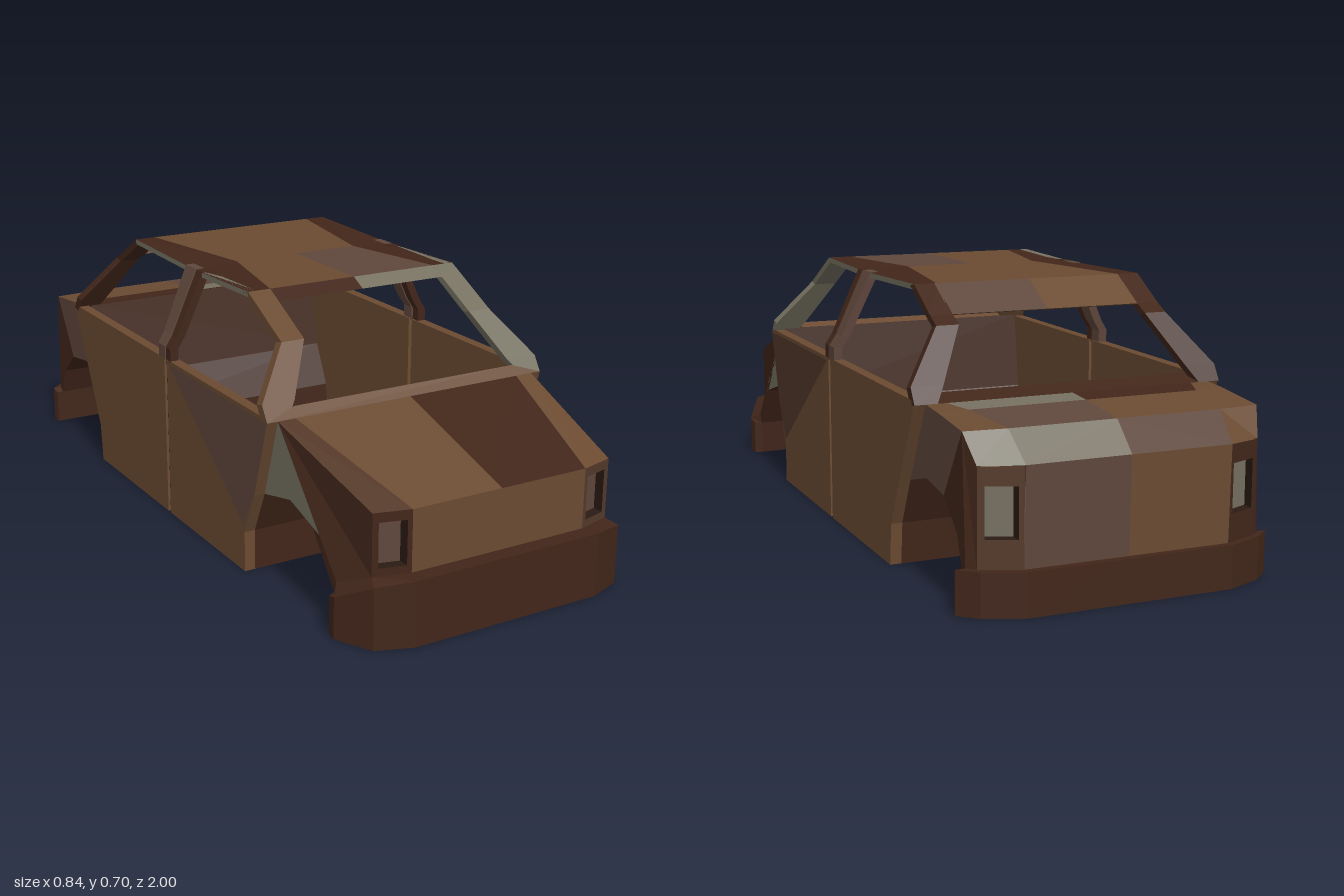
import * as THREE from 'three';

const BROWN = 0x6b4b32, DARK = 0x42261a, GREY = 0x757060, MAUVE = 0x5f473c, UMBER = 0x54392a, BLACK = 0x2c1b14;
const mats = {};
const mat = c => mats[c] ??= new THREE.MeshStandardMaterial({ color: c, flatShading: true, side: THREE.DoubleSide });
const centre = new THREE.Vector3(0, 0.28, 0);

// Flat facets: each face is a fan of corners, turned to point away from the body centre
function panel(group, name, color, faces) {
  const pos = [];
  for (const f of faces) {
    const p = f.map(q => new THREE.Vector3(...q));
    for (let i = 1; i < p.length - 1; i++) {
      const t = [p[0], p[i], p[i + 1]];
      const n = t[1].clone().sub(t[0]).cross(t[2].clone().sub(t[0]));
      const mid = t[0].clone().add(t[1]).add(t[2]).divideScalar(3).sub(centre);
      if (n.dot(mid) < 0) t.reverse();
      t.forEach(v => pos.push(v.x, v.y, v.z));
    }
  }
  const g = new THREE.BufferGeometry();
  g.setAttribute('position', new THREE.Float32BufferAttribute(pos, 3));
  g.computeVertexNormals();
  const m = new THREE.Mesh(g, mat(color));
  m.name = name;
  group.add(m);
}

// The same facets on both sides, each side with its own paint
function pair(group, name, right, left, faces) {
  panel(group, name + 'Left', left, faces);
  panel(group, name + 'Right', right, faces.map(f => f.map(([x, y, z]) => [-x, y, z])));
}

// Strip of quads between two point rows
const strip = (a, b) => a.slice(1).map((p, i) => [a[i], p, b[i + 1], b[i]]);
// Tube of quads through equal cross-sections
function loft(rings) {
  const faces = [rings[0], rings.at(-1)];
  for (let i = 1; i < rings.length; i++)
    rings[i].forEach((p, k) => {
      const n = (k + 1) % rings[i].length;
      faces.push([rings[i - 1][k], p, rings[i][n], rings[i - 1][n]]);
    });
  return faces;
}

// Door plate cut from a z-y outline
function doors(group, name, color, outline) {
  const shape = new THREE.Shape(outline.map(([z, y]) => new THREE.Vector2(-z, y)));
  const g = new THREE.ExtrudeGeometry(shape, { depth: 0.03, bevelEnabled: false });
  g.rotateY(Math.PI / 2);
  for (const s of [0, 1]) {
    const m = new THREE.Mesh(g, mat(color));
    m.name = name + (s ? 'Left' : 'Right');
    m.position.x = s ? 0.39 : -0.42;
    group.add(m);
  }
}

// Corner panel with a recessed lamp
function lamp(group, name, P, Q, y0, y1, v0, v1, lensR, lensL) {
  const at = (u, y, d = 0) => [P[0] + (Q[0] - P[0]) * u, y, P[1] + (Q[1] - P[1]) * u - d];
  const d = 0.03 * Math.sign(P[1]);
  const outer = [at(0, y0), at(1, y0), at(1, y1), at(0, y1), at(0, y0)];
  const hole = k => [at(.12, v0, k), at(.84, v0, k), at(.84, v1, k), at(.12, v1, k), at(.12, v0, k)];
  pair(group, name + 'Surround', DARK, UMBER, strip(outer, hole(0)));
  pair(group, name + 'Recess', BLACK, BLACK, strip(hole(0), hole(d)));
  pair(group, name + 'Lens', lensR, lensL, [hole(d).slice(0, 4)]);
}

export function createModel() {
  const car = new THREE.Group();
  car.name = 'carBody';

  // Wheel arches run right across the body
  const frontArch = [[.84, 0], [.83, .1], [.76, .22], [.62, .26], [.49, .23], [.435, .11], [.435, 0]];
  const rearArch = [[-.5, 0], [-.51, .11], [-.57, .235], [-.68, .265], [-.79, .25], [-.87, .18], [-.9, .1], [-.9, 0]];
  for (const [name, arch] of [['frontWheelArch', frontArch], ['rearWheelArch', rearArch]])
    panel(car, name, DARK, strip(arch.map(([z, y]) => [-.39, y, z]), arch.map(([z, y]) => [.39, y, z])));

  // Floor and bulkheads
  panel(car, 'floor', BLACK, [[[-.39, 0, .435], [.39, 0, .435], [.39, 0, -.5], [-.39, 0, -.5]]]);
  for (const [name, zt, zb, yb] of [['frontBulkhead', .52, .49, .23], ['rearBulkhead', -.62, -.57, .235]])
    panel(car, name, DARK, [[[-.39, .46, zt], [.39, .46, zt], [.39, yb, zb], [-.39, yb, zb]]]);

  // Bonnet, grille and front lamps
  pair(car, 'bonnet', BROWN, DARK, [[[0, .33, .955], [.255, .33, .955], [.34, .445, .56], [0, .445, .56]]]);
  pair(car, 'bonnetEdge', UMBER, BROWN, [[[.255, .33, .955], [.35, .33, .93], [.39, .445, .56], [.34, .445, .56]]]);
  pair(car, 'grille', BROWN, BROWN, [[[0, .17, .955], [.255, .17, .955], [.255, .33, .955], [0, .33, .955]]]);
  lamp(car, 'headlamp', [.255, .955], [.35, .93], .17, .33, .19, .305, MAUVE, MAUVE);

  // Front wings
  const wingTop = [.39, .445, .56];
  pair(car, 'frontWingRear', GREY, GREY, [[wingTop, [.39, .23, .49], [.39, .26, .62], [.39, .22, .76]]]);
  pair(car, 'frontWing', DARK, DARK,
    [[wingTop, [.39, .22, .76], [.39, .1, .83], [.39, .13, .84], [.35, .17, .93], [.35, .33, .93]]]);

  // Bumpers: plan rows of [x, top y, z], outer edge and inner edge
  const bumpers = {
    frontBumper: [[[0, .17, 1], [.27, .17, 1], [.365, .16, .965], [.415, .11, .87], [.41, .1, .84], [.39, .1, .83]],
      [[0, .17, .955], [.255, .17, .955], [.35, .17, .93], [.39, .13, .84], [.39, .1, .83], [.39, .1, .83]], .84],
    rearBumper: [[[0, .11, -1], [.27, .11, -1], [.37, .11, -.96], [.415, .11, -.92], [.41, .1, -.9], [.39, .1, -.9]],
      [[0, .11, -.98], [.27, .11, -.98], [.37, .11, -.94], [.39, .11, -.92], [.39, .1, -.9], [.39, .1, -.9]], -.9],
  };
  for (const [name, [out, inn, zEnd]] of Object.entries(bumpers)) {
    const low = out.map(([x, , z]) => [x, 0, z]);
    pair(car, name, DARK, DARK, [...strip(out, low), ...strip(out, inn)]);
    pair(car, name + 'Underside', BLACK, BLACK, [[[0, 0, zEnd], ...low]]);
  }

  // Boot lid, tail panel and rear lamps
  const lid = [[0.34, .445, -.67], [.31, .44, -.75], [.28, .425, -.91], [.27, .355, -.985]];
  const edge = [[.39, .445, -.67], [.39, .44, -.75], [.39, .425, -.9], [.37, .35, -.94]];
  const mid = lid.map(([, y, z]) => [0, y, z]);
  const lidPaint = [[DARK, GREY], [BROWN, MAUVE], [UMBER, GREY]];
  const edgePaint = [[BROWN, BROWN], [BROWN, BROWN], [BROWN, GREY]];
  strip(mid, lid).forEach((f, i) => pair(car, 'bootLid' + i, ...lidPaint[i], [f]));
  strip(lid, edge).forEach((f, i) => pair(car, 'bootEdge' + i, ...edgePaint[i], [f]));
  pair(car, 'tailPanel', BROWN, MAUVE, [[[0, .11, -.98], [.27, .11, -.98], [.27, .355, -.985], [0, .355, -.985]]]);
  lamp(car, 'tailLamp', [.27, -.98], [.37, -.94], .11, .352, .18, .305, GREY, GREY);

  // Rear wings
  pair(car, 'rearWing', MAUVE, MAUVE, [[edge[2], edge[1], edge[0], [.39, .235, -.57], [.39, .265, -.68], [.39, .25, -.79]]]);
  pair(car, 'rearWingTail', DARK, DARK,
    [[edge[2], [.39, .25, -.79], [.39, .18, -.87], [.39, .1, -.9], [.39, .11, -.92], [.37, .11, -.94], edge[3]]]);

  // Doors, with the patched corner on the front ones
  doors(car, 'frontDoor', BROWN, [[.56, .445], [.49, .23], [.435, .11], [.435, 0], [-.012, 0], [-.012, .455], [.55, .455]]);
  doors(car, 'rearDoor', BROWN, [[-.028, 0], [-.5, 0], [-.51, .11], [-.57, .235], [-.675, .445], [-.665, .455], [-.028, .455]]);
  pair(car, 'doorPatch', MAUVE, UMBER, [[[.421, .445, .56], [.421, .445, 0], [.421, .13, .43], [.421, .23, .49]]]);
  pair(car, 'doorGap', BLACK, BLACK, [[[.413, 0, -.01], [.413, .455, -.01], [.413, .455, -.03], [.413, 0, -.03]]]);

  // Scuttle and rear window ledge
  panel(car, 'scuttle', BROWN, strip([[-.42, .445, .56], [-.335, .472, .545], [-.335, .46, .52]],
    [[.42, .445, .56], [.335, .472, .545], [.335, .46, .52]]));
  panel(car, 'rearLedge', DARK, [[[-.42, .445, -.68], [.42, .445, -.68], [.39, .46, -.62], [-.39, .46, -.62]]]);

  // Windscreen and rear pillars: rows of outer x, inner x, y, z
  const section = (d, depth) => ([xo, xi, y, z]) =>
    [[xo, y, z], [xi, y, z], [xi, y - .006, z - d * depth], [xo, y - .006, z - d * depth]];
  const frontRows = [[.42, .36, .445, .56], [.42, .328, .485, .535], [.32, .255, .61, .455], [.32, .255, .685, .31], [.32, .255, .7, .28]];
  const rearRows = [[.42, .36, .445, -.68], [.42, .335, .485, -.655], [.32, .26, .615, -.57], [.32, .26, .635, -.53], [.32, .26, .7, -.42]];
  pair(car, 'windscreenPillar', BROWN, GREY, loft(frontRows.map(section(1, .028))));
  pair(car, 'rearPillar', DARK, DARK, loft(rearRows.map(section(-1, .028))));

  // Centre pillars, one on each door
  for (const [name, color, a, b, topA, topB] of [['doorPillarFront', DARK, .012, -.015, .015, -.018],
    ['doorPillarRear', MAUVE, -.022, -.06, -.025, -.085]]) {
    const rows = [[.42, .45, 0], [.42, .49, .15], [.4, .52, .3], [.32, .695, 1]];
    pair(car, name, color, color, loft(rows.map(([x, y, t]) => {
      const z0 = a + (topA - a) * t, z1 = b + (topB - b) * t;
      return [[x, y, z0], [x, y, z1], [x - .025, y, z1], [x - .025, y, z0]];
    })));
  }

  // Roof with a waisted centre, side facets, rails and headers
  const crease = [[.255, .7, .28], [.19, .7, -.03], [.26, .7, -.42]];
  const rim = [[.32, .7, .28], [.32, .692, -.03], [.32, .7, -.42]];
  const spine = crease.map(([, y, z]) => [0, y, z]);
  const roofPaint = [[BROWN, MAUVE], [BROWN, BROWN]];
  strip(spine, crease).forEach((f, i) => pair(car, 'roof' + i, ...roofPaint[i], [f]));
  pair(car, 'roofSide', DARK, DARK, strip(crease, rim));
  pair(car, 'roofRail', GREY, GREY, loft(rim.map(([x, y, z]) =>
    [[x, y, z], [x, y - .014, z], [x - .025, y - .014, z], [x - .025, y, z]])));
  pair(car, 'frontHeader', DARK, GREY, strip([[0, .7, .28], [0, .677, .325], [0, .675, .29]],
    [[.26, .7, .28], [.26, .677, .325], [.26, .675, .29]]));
  pair(car, 'rearHeader', BROWN, MAUVE, strip([[0, .7, -.42], [0, .635, -.53], [0, .63, -.51]],
    [[.265, .7, -.42], [.265, .635, -.53], [.265, .63, -.51]]));
  panel(car, 'roofLining', BLACK, [[[-.3, .686, .28], [.3, .686, .28], [.3, .686, -.42], [-.3, .686, -.42]]]);
  return car;
}
